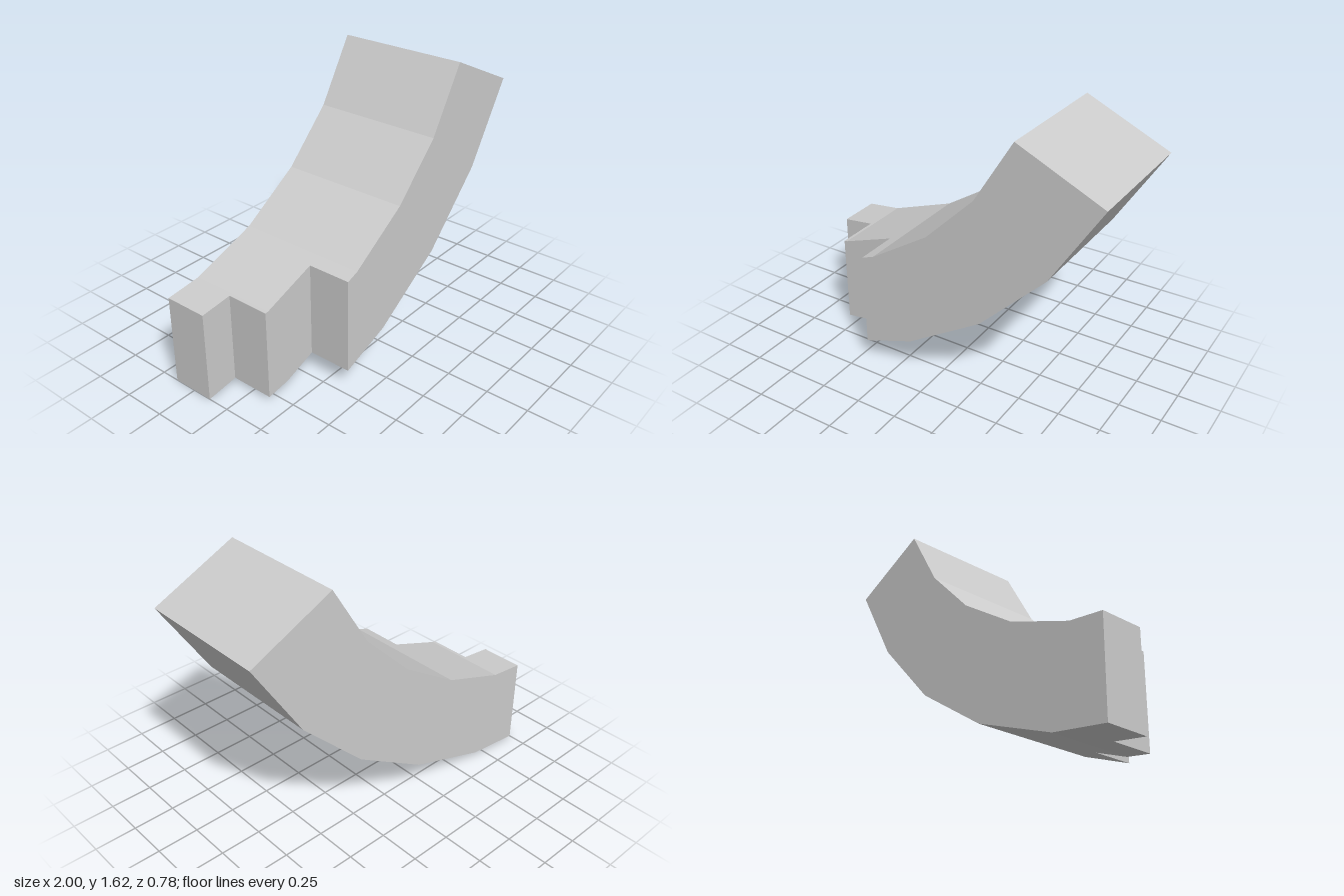
import * as THREE from 'three';

// Upper and lower edges of the curved arm, from its low end to its raised end
const upper = [[-1, 0.545], [-0.785, 0.57], [-0.38, 0.715], [-0.015, 0.95], [0.28, 1.245], [0.505, 1.615]];
const lower = [[-1, 0], [-0.66, 0.045], [-0.14, 0.23], [0.32, 0.52], [0.71, 0.915], [1, 1.385]];

// Part of an edge lying between x0 and x1, with interpolated end points
function clipEdge(edge, x0, x1) {
  const result = [];
  const at = (x) => {
    for (let i = 1; i < edge.length; i++) {
      const [a, b] = [edge[i - 1], edge[i]];
      if (x >= a[0] && x <= b[0]) {
        return [x, a[1] + (b[1] - a[1]) * (x - a[0]) / (b[0] - a[0])];
      }
    }
    return null;
  };
  const start = at(x0);
  const end = at(x1);
  if (start) result.push(start);
  result.push(...edge.filter(([x]) => x > x0 && x < x1));
  if (end) result.push(end);
  return result;
}

export function createModel() {
  const group = new THREE.Group();
  group.name = 'steppedCurvedArm';
  const material = new THREE.MeshStandardMaterial({ color: 0xcccccc, flatShading: true });
  const back = -0.39;

  // Full-width body, then two narrower steps at the low end
  const sections = [
    { name: 'curvedBody', x0: -0.455, x1: 1, front: 0.39 },
    { name: 'middleStep', x0: -0.805, x1: -0.455, front: 0.13 },
    { name: 'endStep', x0: -1, x1: -0.805, front: -0.13 },
  ];
  for (const { name, x0, x1, front } of sections) {
    const outline = [...clipEdge(lower, x0, x1), ...clipEdge(upper, x0, x1).reverse()];
    const shape = new THREE.Shape(outline.map(([x, y]) => new THREE.Vector2(x, y)));
    const geometry = new THREE.ExtrudeGeometry(shape, { depth: front - back, bevelEnabled: false });
    geometry.translate(0, 0, back);
    const mesh = new THREE.Mesh(geometry, material);
    mesh.name = name;
    group.add(mesh);
  }
  return group;
}
